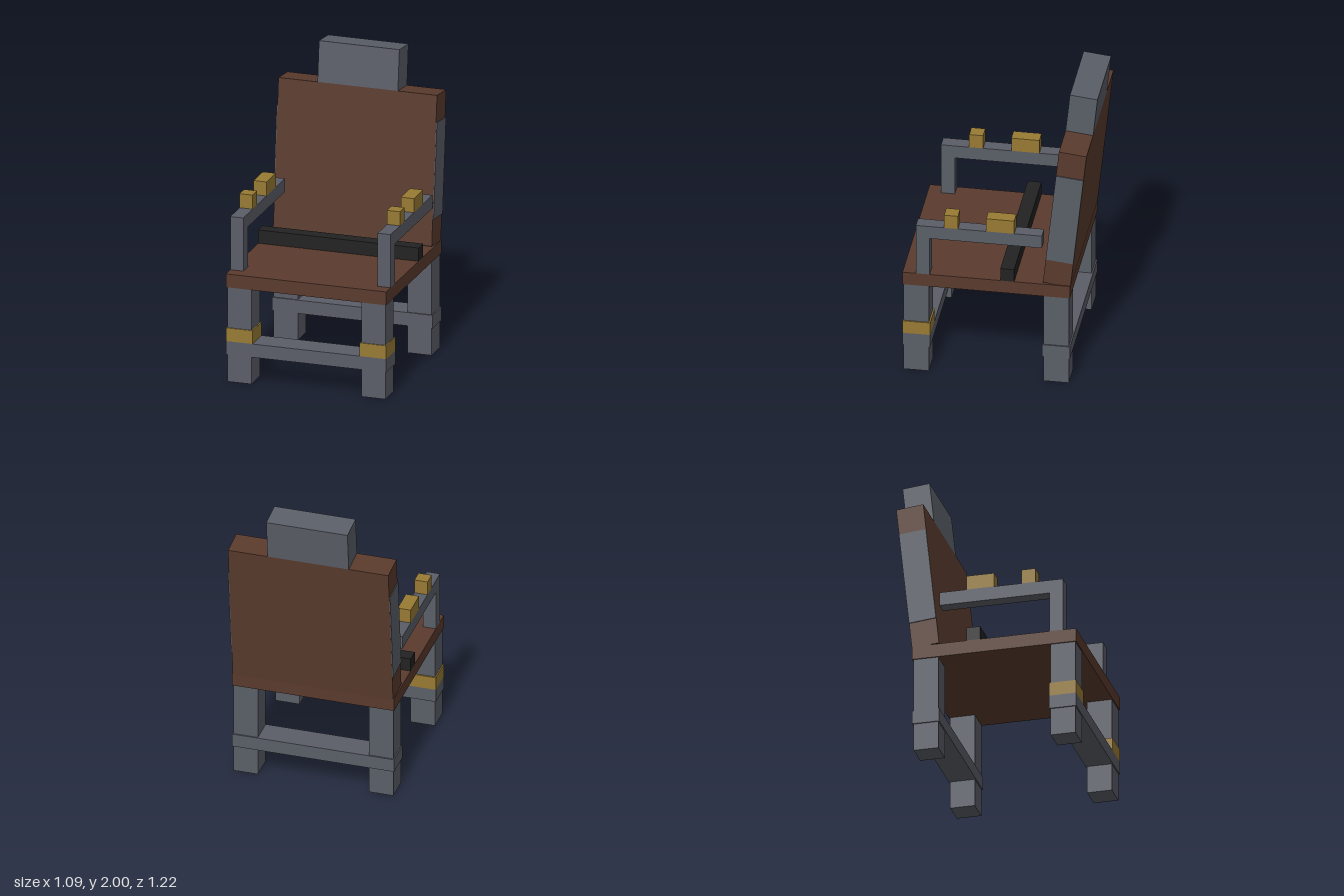
import * as THREE from 'three';

const material = (name, color) => {
  const m = new THREE.MeshStandardMaterial({ color });
  m.name = name;
  return m;
};

// Box given by its min and max on each axis
function box(parent, name, mat, [x0, x1], [y0, y1], [z0, z1]) {
  const mesh = new THREE.Mesh(new THREE.BoxGeometry(x1 - x0, y1 - y0, z1 - z0), mat);
  mesh.position.set((x0 + x1) / 2, (y0 + y1) / 2, (z0 + z1) / 2);
  mesh.name = name;
  parent.add(mesh);
  return mesh;
}

export function createModel() {
  const wood = material('brown wood', 0x5a3b2d);
  const steel = material('grey steel', 0x5a5e67);
  const brass = material('brass', 0x987a34);
  const black = material('black', 0x222222);

  const chair = new THREE.Group();
  chair.name = 'armchair';
  const W = 0.543; // half width

  // Seat and the bar lying across it
  box(chair, 'seat', wood, [-W, W], [0.64, 0.73], [-0.477, 0.61]);
  box(chair, 'lapBar', black, [-W, W], [0.73, 0.82], [-0.115, -0.025]);

  // Stretchers between the legs
  box(chair, 'frontStretcher', steel, [-W, W], [0.185, 0.275], [0.43, 0.61]);
  box(chair, 'backStretcher', steel, [-W, W], [0.185, 0.275], [-0.477, -0.297]);

  // Reclined backrest, pivoting on its lower front edge
  const back = new THREE.Group();
  back.name = 'backrest';
  back.position.set(0, 0.74, -0.3);
  back.rotation.x = THREE.MathUtils.degToRad(-6);
  chair.add(back);
  box(back, 'backPanel', wood, [-0.537, 0.537], [0, 0.995], [-0.18, 0]);
  box(back, 'headrest', steel, [-0.272, 0.272], [0.995, 1.267], [-0.18, 0]);

  for (const side of [1, -1]) {
    const label = side > 0 ? 'left' : 'right';
    const span = (a, b) => (side > 0 ? [a, b] : [-b, -a]);

    // Legs, with brass bands on the front pair
    box(chair, label + 'FrontLeg', steel, span(0.372, 0.535), [0, 0.64], [0.44, 0.603]);
    box(chair, label + 'BackLeg', steel, span(0.372, 0.535), [0, 0.64], [-0.468, -0.305]);
    box(chair, label + 'LegBand', brass, span(0.363, W), [0.275, 0.365], [0.43, 0.61]);

    // Armrest with its post and two control blocks
    box(chair, label + 'ArmPost', steel, span(0.455, W), [0.73, 1.0], [0.433, 0.523]);
    box(chair, label + 'Armrest', steel, span(0.455, W), [1.0, 1.09], [-0.295, 0.523]);
    box(chair, label + 'FrontArmBlock', brass, span(0.455, W), [1.09, 1.185], [0.25, 0.34]);
    box(chair, label + 'RearArmBlock', brass, span(0.455, W), [1.09, 1.185], [-0.115, 0.067]);

    // Side plate let into the backrest edge
    box(back, label + 'BackSidePlate', steel, span(0.455, W), [0.178, 0.815], [-0.1795, -0.0005]);
  }
  return chair;
}
